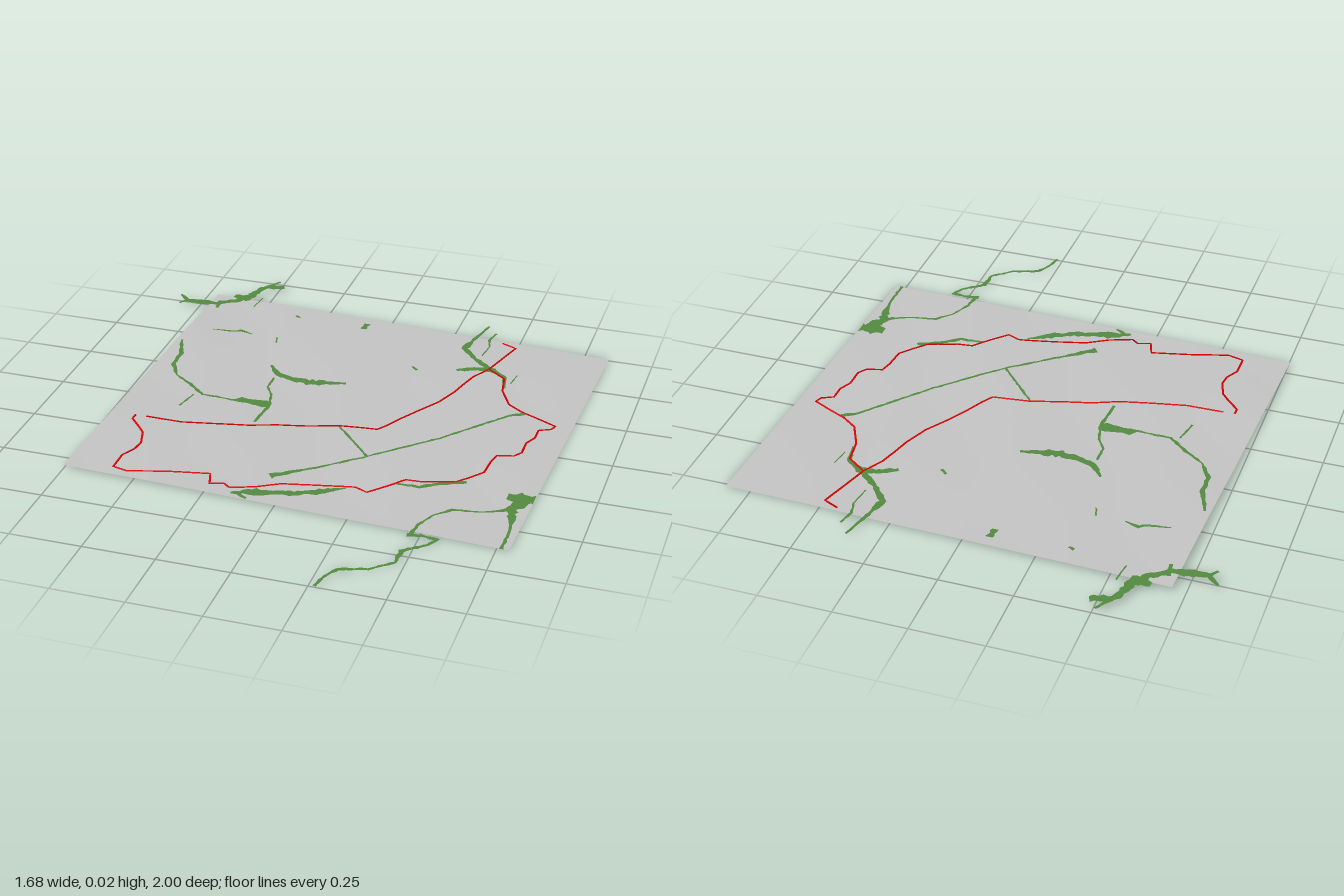
import * as THREE from 'three';

const grey = new THREE.MeshStandardMaterial({ color: 0xc6c6c6, side: THREE.DoubleSide });
grey.name = 'terrain grey';
const green = new THREE.MeshStandardMaterial({ color: 0x548c41, side: THREE.DoubleSide });
green.name = 'vegetation green';
const red = new THREE.MeshStandardMaterial({ color: 0xd60000, side: THREE.DoubleSide });
red.name = 'boundary red';

// Gentle slope, high at the back left, with shallow ripples
function height(x, z) {
  const u = THREE.MathUtils.clamp((x + 0.73) / 1.54, 0, 1);
  const v = THREE.MathUtils.clamp((z + 0.8) / 1.4, 0, 1);
  const slope = (1 - u) * (0.018 - 0.006 * v) + u * 0.003;
  const ripple = Math.sin(5 * x + 3 * z) * Math.cos(7 * z - 4 * x) + 0.5 * Math.sin(13 * x - 9 * z);
  return slope + (0.0018 - 0.001 * u) * ripple + 0.0005;
}

// Strip mesh from rows of [x, y, z] corners
function loft(name, rows, material) {
  const n = rows[0].length, index = [];
  for (let i = 0; i < rows.length - 1; i++) {
    for (let j = 0; j < n - 1; j++) {
      const a = i * n + j, b = a + n;
      index.push(a, b, a + 1, a + 1, b, b + 1);
    }
  }
  const geo = new THREE.BufferGeometry();
  geo.setAttribute('position', new THREE.Float32BufferAttribute(rows.flat(2), 3));
  geo.setIndex(index);
  geo.computeVertexNormals();
  const mesh = new THREE.Mesh(geo, material);
  mesh.name = name;
  return mesh;
}

// Resample a path of [x, z, width] points, giving centre, side vector and width
function trace(points, step) {
  const out = [];
  for (let i = 0; i < points.length; i++) {
    const p = points[i], a = points[Math.max(i - 1, 0)], b = points[Math.min(i + 1, points.length - 1)];
    const len = Math.hypot(b[0] - a[0], b[1] - a[1]) || 1;
    out.push({ x: p[0], z: p[1], w: p[2], nx: (b[1] - a[1]) / len, nz: -(b[0] - a[0]) / len });
    if (i === points.length - 1) break;
    const q = points[i + 1], d = Math.hypot(q[0] - p[0], q[1] - p[1]);
    const n = Math.ceil(d / step);
    for (let k = 1; k < n; k++) {
      const t = k / n, mix = (c) => p[c] + (q[c] - p[c]) * t;
      out.push({ x: mix(0), z: mix(1), w: mix(2), nx: (q[1] - p[1]) / d, nz: -(q[0] - p[0]) / d });
    }
  }
  return out;
}

let seed = 7;
const rand = () => (seed = (seed * 16807) % 2147483647) / 2147483647;

// Flat patch of vegetation with ragged edges, draped on the land
function vegetation(name, points) {
  const rows = trace(points, 0.015).map((s) => [1, -1].map((side) => {
    const r = side * s.w * (0.3 + 0.4 * rand());
    const x = s.x + s.nx * r, z = s.z + s.nz * r;
    return [x, height(x, z) + 0.001, z];
  }));
  return loft(name, rows, green);
}

// Boundary line with a square section passing through the sheet
function boundary(name, points) {
  const w = 0.0035, h = 0.0013;
  const rows = trace(points.map((p) => [...p, 0]), 0.02).map((s) =>
    [[1, 1], [-1, 1], [-1, -1], [1, -1], [1, 1]].map(([a, b]) => [
      s.x + s.nx * w * a, height(s.x, s.z) + h * b, s.z + s.nz * w * a]));
  return loft(name, rows, red);
}

export function createModel() {
  const model = new THREE.Group();
  model.name = 'terrainMap';

  // Land sheet, a slightly turned rectangle
  const rows = [], N = 60;
  for (let i = 0; i <= N; i++) {
    const row = [], v = i / N;
    for (let j = 0; j <= N; j++) {
      const u = j / N;
      const x = -0.705 + 1.545 * u - 0.05 * v, z = -0.82 + 0.06 * u + 1.38 * v;
      row.push([x, height(x, z), z]);
    }
    rows.push(row);
  }
  model.add(loft('land', rows, grey));

  // Boundary: inner edge, then the ragged outer edge
  model.add(boundary('innerBoundary', [
    [0.44, -0.76], [0.495, -0.735], [0.47, -0.65], [0.44, -0.545], [0.4, -0.47], [0.38, -0.4], [0.365, -0.34],
    [0.33, -0.25], [0.28, -0.17], [0.24, -0.1], [0.205, -0.03], [0.18, 0.01], [0.13, 0.015], [0.05, 0.025],
    [-0.06, 0.06], [-0.16, 0.085], [-0.25, 0.12], [-0.36, 0.145], [-0.48, 0.17], [-0.61, 0.17]]));
  model.add(boundary('outerBoundary', [
    [-0.65, 0.17], [-0.65, 0.2], [-0.6, 0.255], [-0.58, 0.28], [-0.56, 0.345], [-0.565, 0.39], [-0.59, 0.44],
    [-0.59, 0.52], [-0.535, 0.535], [-0.4, 0.495], [-0.265, 0.465], [-0.245, 0.525], [-0.2, 0.51], [-0.175, 0.53],
    [-0.095, 0.5], [-0.02, 0.455], [0.08, 0.43], [0.19, 0.405], [0.22, 0.4], [0.265, 0.42], [0.32, 0.36],
    [0.365, 0.305], [0.42, 0.3], [0.525, 0.265], [0.565, 0.22], [0.6, 0.175], [0.605, 0.1], [0.615, 0.055],
    [0.67, 0.04], [0.69, 0.01], [0.69, -0.06], [0.71, -0.105], [0.71, -0.16], [0.75, -0.18], [0.76, -0.205],
    [0.69, -0.24], [0.625, -0.27], [0.57, -0.31], [0.525, -0.4], [0.51, -0.49], [0.44, -0.545]]));

  // Vegetation: each point is x, z, width
  const patches = {
    hedge: [
      [[0.64, -0.26, 0.025], [0.59, -0.23, 0.01], [0.4, 0, 0.01], [0.2, 0.2, 0.009], [0.02, 0.35, 0.012], [-0.07, 0.42, 0.03]],
      [[0.05, 0.03, 0.008], [0.2, 0.2, 0.008]]],
    leftStream: [
      [[-0.7, -0.41, 0.008], [-0.665, -0.31, 0.018], [-0.66, -0.22, 0.014], [-0.62, -0.15, 0.01], [-0.55, -0.1, 0.012],
        [-0.48, -0.04, 0.012], [-0.36, -0.035, 0.01], [-0.34, -0.045, 0.03], [-0.235, -0.045, 0.04]],
      [[-0.51, -0.03, 0.006], [-0.53, 0.06, 0.008]],
      [[-0.24, 0.09, 0.01], [-0.23, -0.04, 0.012], [-0.25, -0.12, 0.008], [-0.28, -0.17, 0.008], [-0.28, -0.24, 0.008]],
      [[-0.32, -0.33, 0.01], [-0.28, -0.27, 0.025], [-0.22, -0.25, 0.022], [-0.14, -0.245, 0.038], [-0.02, -0.275, 0.016]]],
    scatteredScrub: [
      [[-0.62, -0.53, 0.005], [-0.54, -0.54, 0.01], [-0.52, -0.555, 0.016], [-0.47, -0.54, 0.008]],
      [[-0.37, -0.54, 0.008], [-0.36, -0.5, 0.006]],
      [[-0.36, -0.735, 0.012], [-0.34, -0.725, 0.008]],
      [[-0.085, -0.755, 0.024], [-0.085, -0.71, 0.02]],
      [[0.17, -0.475, 0.01], [0.195, -0.455, 0.01]]],
    backRightTrees: [
      [[0.36, -0.88, 0.007], [0.335, -0.78, 0.012], [0.315, -0.68, 0.025], [0.37, -0.61, 0.016], [0.45, -0.54, 0.03],
        [0.51, -0.5, 0.018], [0.525, -0.42, 0.01]],
      [[0.4, -0.83, 0.007], [0.385, -0.77, 0.01], [0.4, -0.72, 0.006], [0.39, -0.64, 0.005]],
      [[0.33, -0.5, 0.015], [0.39, -0.53, 0.025], [0.45, -0.54, 0.025]],
      [[0.55, -0.53, 0.005], [0.54, -0.46, 0.005]]],
    backLeftTrees: [
      [[-0.81, -0.73, 0.025], [-0.75, -0.735, 0.03], [-0.68, -0.745, 0.028], [-0.62, -0.79, 0.025], [-0.58, -0.84, 0.035],
        [-0.55, -0.93, 0.015], [-0.51, -0.995, 0.01]],
      [[-0.58, -0.87, 0.018], [-0.55, -0.93, 0.025], [-0.48, -0.955, 0.035]],
      [[-0.84, -0.77, 0.008], [-0.8, -0.735, 0.018], [-0.82, -0.7, 0.014]],
      [[-0.64, -0.83, 0.03], [-0.57, -0.82, 0.04]],
      [[-0.68, -0.77, 0.014], [-0.67, -0.71, 0.01]],
      [[-0.53, -0.84, 0.005], [-0.54, -0.76, 0.005]]],
    frontThicket: [
      [[-0.16, 0.56, 0.014], [-0.08, 0.53, 0.036], [0.04, 0.5, 0.028], [0.13, 0.455, 0.03], [0.19, 0.415, 0.01]],
      [[-0.15, 0.55, 0.014], [-0.1, 0.58, 0.01]],
      [[0.34, 0.34, 0.014], [0.42, 0.335, 0.015], [0.49, 0.285, 0.02], [0.56, 0.255, 0.015]]],
    frontRightTrees: [
      [[0.71, 0.3, 0.04], [0.75, 0.3, 0.07], [0.8, 0.3, 0.05]],
      [[0.77, 0.31, 0.04], [0.74, 0.37, 0.05], [0.755, 0.43, 0.02], [0.765, 0.5, 0.008], [0.765, 0.62, 0.014]],
      [[0.74, 0.38, 0.02], [0.66, 0.42, 0.007], [0.56, 0.44, 0.012], [0.51, 0.49, 0.008], [0.48, 0.56, 0.01], [0.47, 0.62, 0.014]]],
    frontStream: [
      [[0.46, 0.63, 0.02], [0.51, 0.625, 0.014], [0.56, 0.63, 0.014], [0.54, 0.67, 0.01], [0.47, 0.73, 0.018],
        [0.47, 0.8, 0.012], [0.4, 0.86, 0.011], [0.31, 0.89, 0.014], [0.28, 0.95, 0.01], [0.27, 1.0, 0.01]]],
  };
  for (const [name, strips] of Object.entries(patches)) {
    const group = new THREE.Group();
    group.name = name;
    strips.forEach((points, i) => group.add(vegetation(`${name}Patch${i + 1}`, points)));
    model.add(group);
  }
  return model;
}
